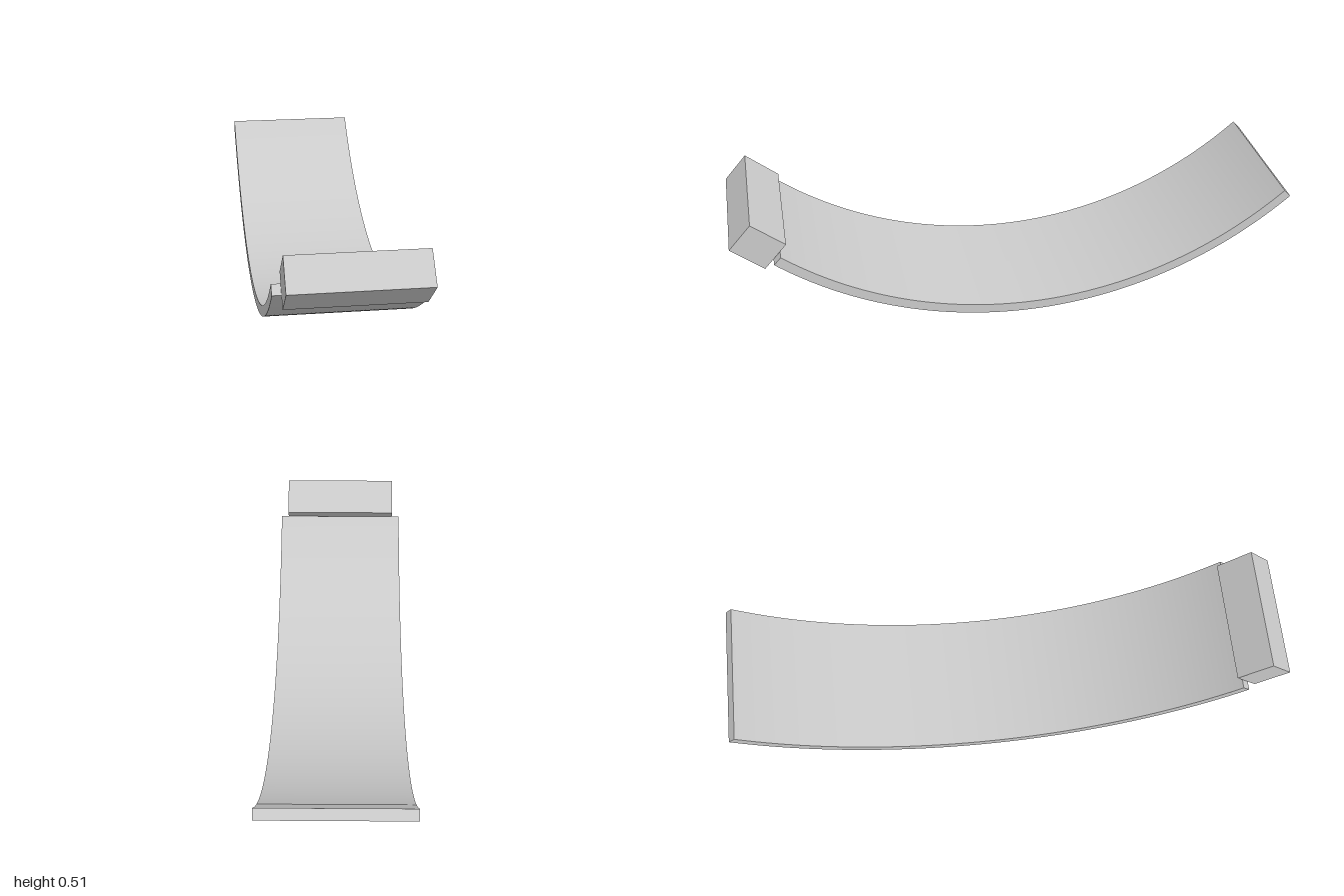
import * as THREE from 'three';
import { toCreasedNormals } from 'three/addons/utils/BufferGeometryUtils.js';

export function createModel() {
  const model = new THREE.Group();
  model.name = 'curvedStrip';
  const grey = new THREE.MeshStandardMaterial({ color: 0xcccccc });
  grey.name = 'light grey';

  // Curved strip: ring sector in the z-y plane, extruded across x
  const outerR = 1.381, innerR = 1.344, width = 0.496;
  const centreZ = -0.07, half = 0.7388, down = -Math.PI / 2;
  const section = new THREE.Shape();
  section.absarc(centreZ, outerR, outerR, down - half, down + half, false);
  section.absarc(centreZ, outerR, innerR, down + half, down - half, true);
  section.closePath();
  const stripGeometry = new THREE.ExtrudeGeometry(section, {
    depth: width, bevelEnabled: false, curveSegments: 64,
  });
  stripGeometry.translate(0, 0, -width / 2);
  stripGeometry.rotateY(-Math.PI / 2);
  const strip = new THREE.Mesh(toCreasedNormals(stripGeometry, 0.5), grey);
  strip.name = 'curvedPlate';
  model.add(strip);

  // Block tilted to follow the front end of the strip
  const block = new THREE.Mesh(new THREE.BoxGeometry(0.438, 0.12, 0.144), grey);
  block.name = 'endBlock';
  block.position.set(0, 0.42, 0.906);
  block.rotation.x = -THREE.MathUtils.degToRad(41.5);
  model.add(block);

  return model;
}
